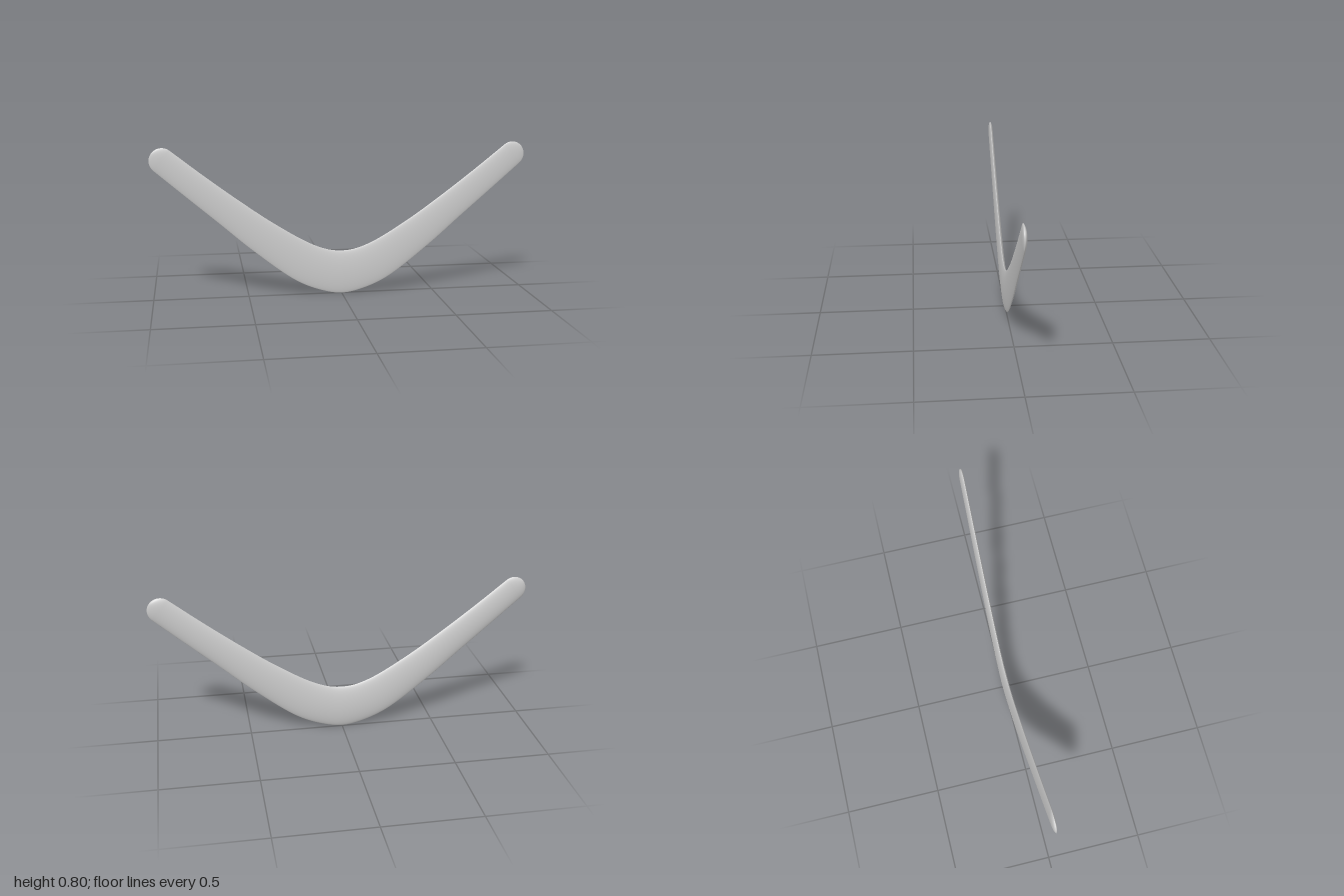
import * as THREE from 'three';

// Matching points on the inner (upper) and outer (lower) edge, centre to arm end
const UPPER = [[0, 0.235], [0.07, 0.243], [0.17, 0.28], [0.36, 0.393], [0.53, 0.512], [0.72, 0.655], [0.892, 0.7915]];
const LOWER = [[0, 0], [0.1, 0.017], [0.24, 0.075], [0.47, 0.247], [0.65, 0.404], [0.82, 0.551], [0.977, 0.688]];
const TIP = { x: 0.932, y: 0.738, r: 0.067 };
const EDGE_Z = 0.005;

// Smooth edge curve through the points and their mirror images
function edgeCurve(points) {
  const right = points.map(([x, y]) => new THREE.Vector3(x, y, 0));
  const left = right.slice(1).reverse().map((p) => new THREE.Vector3(-p.x, p.y, 0));
  return new THREE.CatmullRomCurve3([...left, ...right], false, 'centripetal');
}

// Stations from the centre to the tip: upper point, lower point, thickness factor
function armStations() {
  const upper = edgeCurve(UPPER), lower = edgeCurve(LOWER);
  const stations = [];
  const steps = 48, capSteps = 14;
  for (let i = 0; i <= steps; i++) {
    const t = i / steps;
    stations.push({ u: upper.getPoint(0.5 + t / 2), l: lower.getPoint(0.5 + t / 2), h: 1 - 0.28 * t });
  }
  // Rounded end: both edges run round a circle until they meet
  const onTip = (deg) => {
    const a = THREE.MathUtils.degToRad(deg);
    return new THREE.Vector3(TIP.x + TIP.r * Math.cos(a), TIP.y + TIP.r * Math.sin(a), 0);
  };
  for (let i = 1; i <= capSteps; i++) {
    const k = i / capSteps;
    const h = 0.72 * Math.pow(Math.max(0, Math.cos(k * Math.PI / 2)), 0.7);
    stations.push({ u: onTip(127 - 87 * k), l: onTip(-48 + 88 * k), h });
  }
  return stations;
}

function bladeGeometry() {
  const half = armStations();
  const flip = (p) => new THREE.Vector3(-p.x, p.y, 0);
  const left = half.slice(1).reverse().map((s) => ({ u: flip(s.u), l: flip(s.l), h: s.h }));
  const stations = [...left, ...half];
  const sides = 40, positions = [], index = [];

  // Lens-shaped cross-sections, fuller on the back than on the front
  for (const { u, l, h } of stations) {
    for (let j = 0; j < sides; j++) {
      const a = (j / sides) * Math.PI * 2;
      const p = new THREE.Vector3().lerpVectors(l, u, (1 + Math.cos(a)) / 2);
      const s = Math.sin(a);
      const bulge = (s > 0 ? 0.013 : -0.022) * Math.pow(Math.abs(s), 1.35);
      positions.push(p.x, p.y, EDGE_Z + bulge * h);
    }
  }
  for (let i = 0; i < stations.length - 1; i++) {
    for (let j = 0; j < sides; j++) {
      const k = (j + 1) % sides;
      const a = i * sides + j, b = i * sides + k;
      index.push(a, b, a + sides, b, b + sides, a + sides);
    }
  }
  const geometry = new THREE.BufferGeometry();
  geometry.setAttribute('position', new THREE.Float32BufferAttribute(positions, 3));
  geometry.setIndex(index);
  geometry.computeVertexNormals();
  return geometry;
}

export function createModel() {
  const group = new THREE.Group();
  group.name = 'boomerang';
  const blade = new THREE.Mesh(bladeGeometry(), new THREE.MeshStandardMaterial({ color: 0xcccccc }));
  blade.name = 'blade';
  group.add(blade);
  return group;
}
